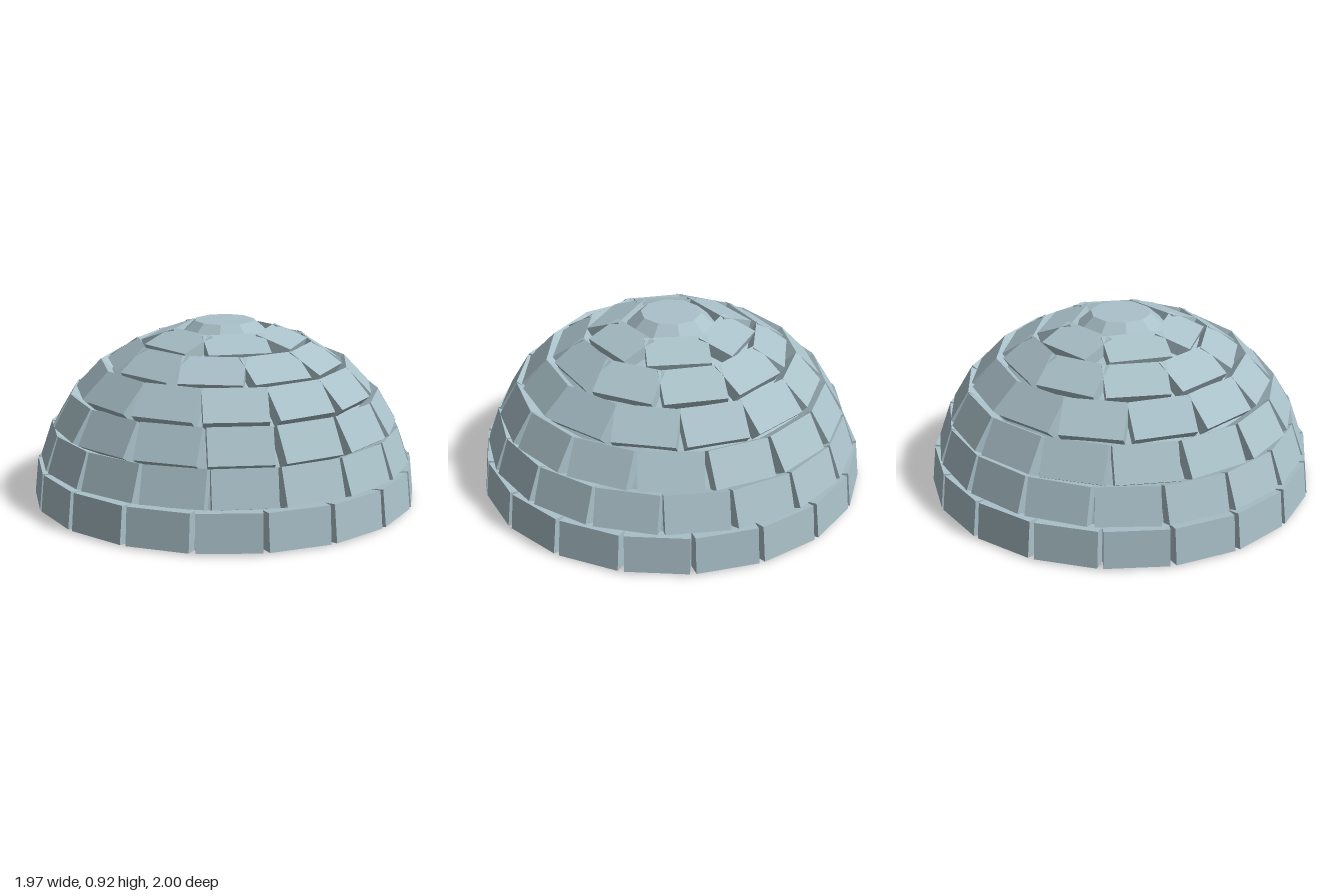
import * as THREE from 'three';

export function createModel() {
  const model = new THREE.Group();
  model.name = 'iceDome';
  const ice = new THREE.MeshStandardMaterial({ color: 0xaac1c9 });
  ice.name = 'paleIce';
  ice.flatShading = true;
  const smoothIce = ice.clone(); // same colour, smooth inner shell
  smoothIce.flatShading = false;

  // Courses of tilted blocks: count, radius and height of the outer face centre, tilt in degrees
  const courses = [
    [18, 0.976, 0.105, 6],
    [17, 0.919, 0.303, 19],
    [15, 0.831, 0.483, 30.5],
    [13, 0.69, 0.645, 43.5],
    [10, 0.509, 0.77, 57],
    [6, 0.31, 0.858, 70],
  ];
  const depth = 0.085;
  const blockShape = new THREE.BoxGeometry(depth, 0.19, 0.316);
  blockShape.translate(-depth / 2, 0, 0);

  courses.forEach(([count, radius, height, tilt], row) => {
    const course = new THREE.Group();
    course.name = `blockCourse${row + 1}`;
    for (let i = 0; i < count; i++) {
      // every second course is shifted by half a block
      const pivot = new THREE.Group();
      pivot.rotation.y = ((i + (row % 2) / 2) / count) * Math.PI * 2;
      const block = new THREE.Mesh(blockShape, ice);
      block.name = 'iceBlock';
      block.position.set(radius, height, 0);
      block.rotation.z = THREE.MathUtils.degToRad(tilt);
      pivot.add(block);
      course.add(pivot);
    }
    model.add(course);
  });

  // Inner shell showing through the gaps
  const shell = new THREE.Mesh(
    new THREE.SphereGeometry(0.92, 48, 16, 0, Math.PI * 2, 0, Math.PI / 2), smoothIce);
  shell.name = 'innerShell';
  shell.scale.y = 0.93;
  shell.position.y = 0.002;
  model.add(shell);

  // Floor closing the underside
  const floor = new THREE.Mesh(new THREE.CircleGeometry(0.92, 48), ice);
  floor.name = 'floor';
  floor.rotation.x = Math.PI / 2;
  floor.position.y = 0.002;
  model.add(floor);

  // Ten-sided cap stone at the crown
  const cap = new THREE.Mesh(new THREE.CylinderGeometry(0.155, 0.255, 0.09, 10), ice);
  cap.name = 'capStone';
  cap.rotation.y = Math.PI / 2;
  cap.position.y = 0.88;
  model.add(cap);

  return model;
}
